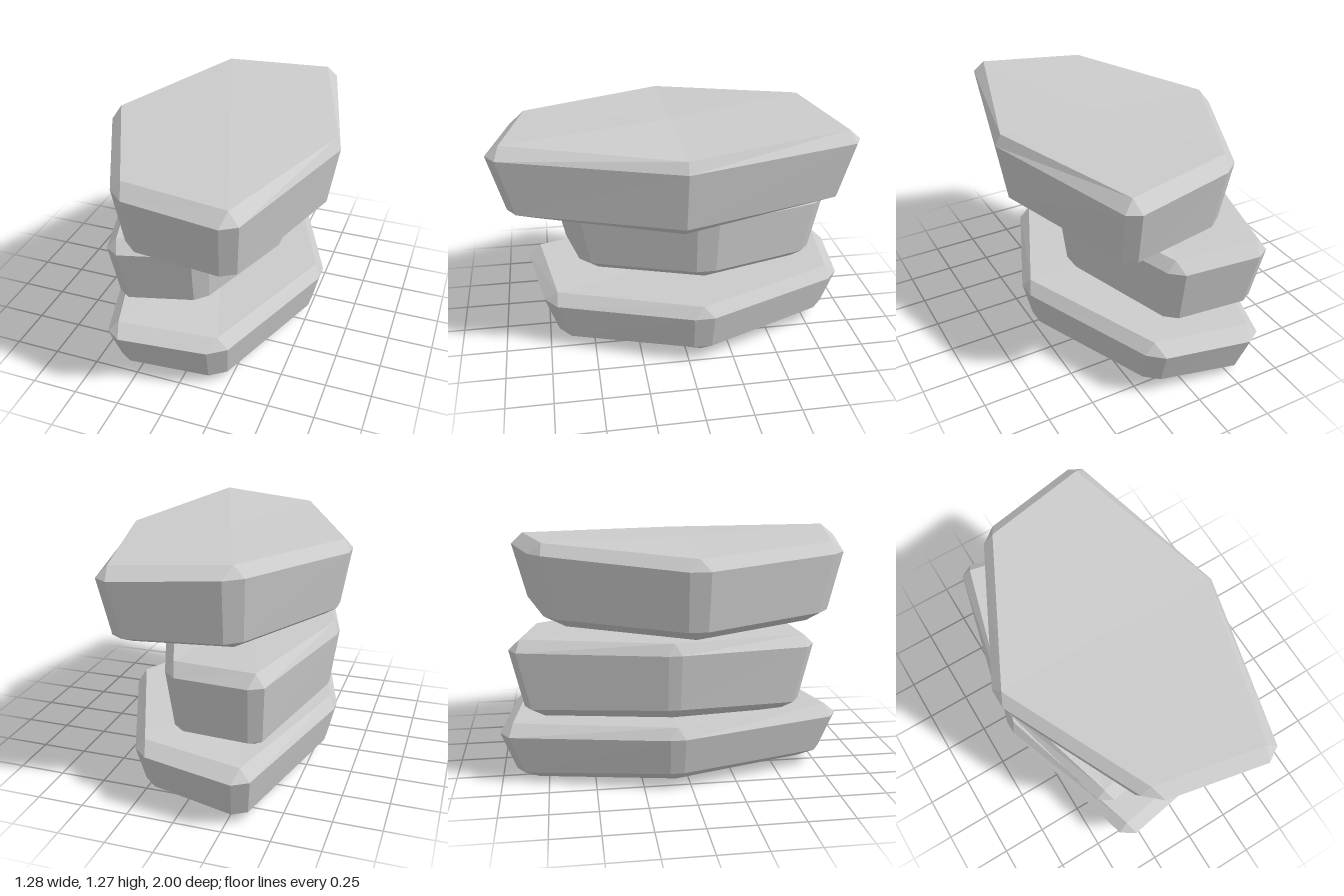
import * as THREE from 'three';

// Each corner: two chamfer points (x, z, x, z) at the widest ring, top height, height of the lower ring.
// Order: right, front right, front left, left, back left, back right.
const SLABS = [
  { name: 'bottomRock', centre: [-0.03, -0.08], corners: [
    [0.56, -0.13, 0.56, -0.02, 0.37, 0.10],
    [0.26, 0.70, 0.165, 0.77, 0.335, 0.06],
    [-0.30, 0.85, -0.38, 0.80, 0.365, 0.10],
    [-0.615, -0.04, -0.615, -0.12, 0.365, 0.10],
    [-0.38, -0.95, -0.30, -1.0, 0.335, 0.06],
    [0.17, -0.93, 0.25, -0.86, 0.365, 0.10],
  ] },
  { name: 'middleRock', centre: [-0.13, -0.12], corners: [
    [0.34, -0.19, 0.34, -0.07, 0.82, 0.45],
    [0.10, 0.55, 0.03, 0.62, 0.81, 0.435],
    [-0.355, 0.69, -0.43, 0.64, 0.785, 0.41],
    [-0.615, -0.06, -0.615, -0.13, 0.815, 0.455],
    [-0.43, -0.89, -0.36, -0.93, 0.81, 0.435],
    [0.03, -0.86, 0.10, -0.80, 0.785, 0.41],
  ] },
  { name: 'topRock', centre: [0, 0.03], corners: [
    [0.637, 0.03, 0.637, 0.031, 1.245, 0.865],
    [0.40, 0.95, 0.32, 1.0, 1.28, 0.91],
    [-0.20, 0.89, -0.29, 0.81, 1.255, 0.87],
    [-0.64, 0.08, -0.64, -0.03, 1.24, 0.865],
    [-0.29, -0.75, -0.20, -0.82, 1.28, 0.88],
    [0.33, -0.93, 0.40, -0.89, 1.26, 0.89],
  ] },
];

// Chamfered slab: single-point rings on top and bottom, two-point rings on the sides
function slabGeometry(corners, [cx, cz]) {
  const pos = [];
  const tri = (...pts) => pts.forEach((p) => pos.push(...p));
  const quad = (a, b, c, d) => { tri(a, b, c); tri(a, c, d); };
  const at = (x, y, z, s) => [cx + (x - cx) * s, y, cz + (z - cz) * s];

  const rings = corners.map(([ax, az, bx, bz, top, low]) => {
    const mx = (ax + bx) / 2, mz = (az + bz) / 2;
    return {
      top: at(mx, top, mz, 0.95),
      upper: [at(ax, top - 0.06, az, 1), at(bx, top - 0.06, bz, 1)],
      lower: [at(ax, low, az, 0.915), at(bx, low, bz, 0.915)],
      base: at(mx, low - 0.055, mz, 0.81),
    };
  });
  const mean = (key) => [0, 1, 2].map((k) => rings.reduce((s, r) => s + r[key][k], 0) / rings.length);
  const topCentre = mean('top'), baseCentre = mean('base');

  rings.forEach((p, i) => {
    const q = rings[(i + 1) % rings.length];
    // corner chamfer
    tri(p.top, p.upper[1], p.upper[0]);
    quad(p.upper[0], p.upper[1], p.lower[1], p.lower[0]);
    tri(p.base, p.lower[0], p.lower[1]);
    // side between this corner and the next
    quad(p.top, q.top, q.upper[0], p.upper[1]);
    quad(p.upper[1], q.upper[0], q.lower[0], p.lower[1]);
    quad(p.lower[1], q.lower[0], q.base, p.base);
    // caps
    tri(topCentre, q.top, p.top);
    tri(baseCentre, p.base, q.base);
  });

  const geometry = new THREE.BufferGeometry();
  geometry.setAttribute('position', new THREE.Float32BufferAttribute(pos, 3));
  geometry.computeVertexNormals();
  return geometry;
}

export function createModel() {
  const group = new THREE.Group();
  group.name = 'stackedRocks';
  const stone = new THREE.MeshStandardMaterial({ color: 0xcccccc, flatShading: true });
  for (const { name, centre, corners } of SLABS) {
    const rock = new THREE.Mesh(slabGeometry(corners, centre), stone);
    rock.name = name;
    group.add(rock);
  }
  return group;
}
